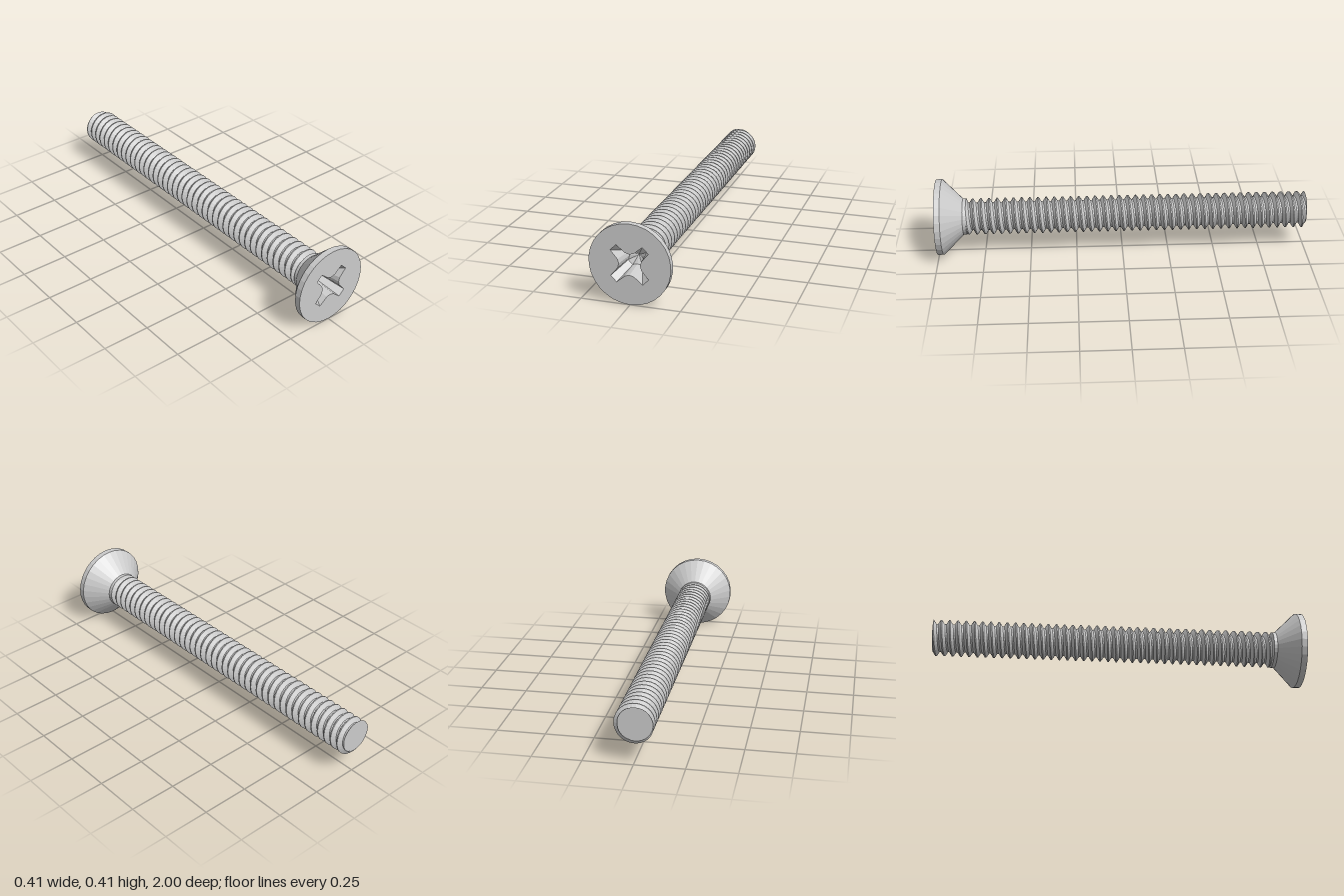
import * as THREE from 'three';

const SIDES = 30, HEAD_R = 0.205, CREST = 0.098, ROOT = 0.075, PITCH = 0.0442;
const TIP_Z = -1, THREAD_TOP = 0.85;

const material = new THREE.MeshStandardMaterial({ color: 0xcccccc, flatShading: true });

// Skin a list of equally long rows of points
function skin(rows) {
  const pos = [];
  for (let j = 0; j < rows.length - 1; j++) {
    for (let i = 0; i < rows[0].length - 1; i++) {
      const a = rows[j][i], b = rows[j][i + 1], c = rows[j + 1][i + 1], d = rows[j + 1][i];
      for (const tri of [[a, b, d], [b, c, d]]) {
        const [p, q, r] = tri;
        if (p.distanceTo(q) < 1e-6 || q.distanceTo(r) < 1e-6 || r.distanceTo(p) < 1e-6) continue;
        tri.forEach((v) => pos.push(v.x, v.y, v.z));
      }
    }
  }
  const g = new THREE.BufferGeometry();
  g.setAttribute('position', new THREE.Float32BufferAttribute(pos, 3));
  g.computeVertexNormals();
  return g;
}

// Thread profile: [fraction of pitch, radius]
const PROFILE = [[0, ROOT], [0.2, ROOT], [0.53, CREST], [0.67, CREST], [1, ROOT]];
function threadRadius(phase) {
  const f = phase - Math.floor(phase);
  for (let k = 0; k < 4; k++) {
    const [f0, r0] = PROFILE[k], [f1, r1] = PROFILE[k + 1];
    if (f <= f1) return r0 + (r1 - r0) * (f - f0) / (f1 - f0);
  }
  return ROOT;
}

// Right-handed helical thread, cut flat at the tip and closed by a cap
function threadGeometry() {
  const turns = Math.ceil((THREAD_TOP - TIP_Z) / PITCH) + 1;
  const rows = [Array.from({ length: SIDES + 1 }, () => new THREE.Vector3(0, 0, TIP_Z))];
  for (let t = -1; t < turns; t++) {
    for (let k = 0; k < 4; k++) {
      const row = [];
      for (let i = 0; i <= SIDES; i++) {
        const turn = i / SIDES, a = turn * Math.PI * 2;
        const z = THREE.MathUtils.clamp(TIP_Z + (t + PROFILE[k][0] + turn) * PITCH, TIP_Z, THREAD_TOP);
        const r = threadRadius((z - TIP_Z) / PITCH - turn + 1e-7);
        row.push(new THREE.Vector3(Math.cos(a) * r, Math.sin(a) * r, z));
      }
      rows.push(row);
    }
  }
  return skin(rows);
}

// Repeat one arm outline four times on the diagonals
function crossRing(arm, z) {
  const ring = [];
  for (let q = 0; q < 4; q++) {
    const a = Math.PI / 4 + q * Math.PI / 2, c = Math.cos(a), s = Math.sin(a);
    arm.forEach(([u, v]) => ring.push(new THREE.Vector3(u * c - v * s, u * s + v * c, z)));
  }
  ring.push(ring[0].clone());
  return ring;
}

export function createModel() {
  const model = new THREE.Group();
  model.name = 'countersunkScrew';
  const add = (name, geometry) => {
    const mesh = new THREE.Mesh(geometry, material);
    mesh.name = name;
    mesh.position.y = HEAD_R;
    model.add(mesh);
  };

  // Threaded shank
  add('threadedShank', threadGeometry());

  // Conical head with its rim and the short collar under it
  const profile = [[0.073, 0.832], [0.098, 0.842], [0.098, 0.86], [HEAD_R, 0.968], [HEAD_R, 1]];
  const head = new THREE.LatheGeometry(profile.map(([r, y]) => new THREE.Vector2(r, y)), SIDES);
  add('head', head.rotateX(Math.PI / 2));

  // Cross recess: ramped arms running into a conical well
  const mouth = crossRing([[0.057, -0.026], [0.113, -0.021], [0.113, 0.021], [0.057, 0.026], [0.0375, 0.0375]], 1);
  const floor = crossRing([[0.042, -0.019], [0.05, -0.016], [0.05, 0.016], [0.042, 0.019], [0.028, 0.028]], 0.89);
  const well = floor.map(() => new THREE.Vector3(0, 0, 0.868));
  add('crossRecess', skin([mouth, floor, well]));

  // Flat head face, open at the recess
  const rim = [];
  for (let i = 0; i < SIDES; i++) {
    const a = i / SIDES * Math.PI * 2;
    rim.push(new THREE.Vector2(Math.sin(a) * HEAD_R, -Math.cos(a) * HEAD_R));
  }
  const face = new THREE.Shape(rim);
  face.holes.push(new THREE.Path(mouth.slice(0, -1).map((p) => new THREE.Vector2(p.x, p.y))));
  add('headFace', new THREE.ShapeGeometry(face).translate(0, 0, 1));

  return model;
}
